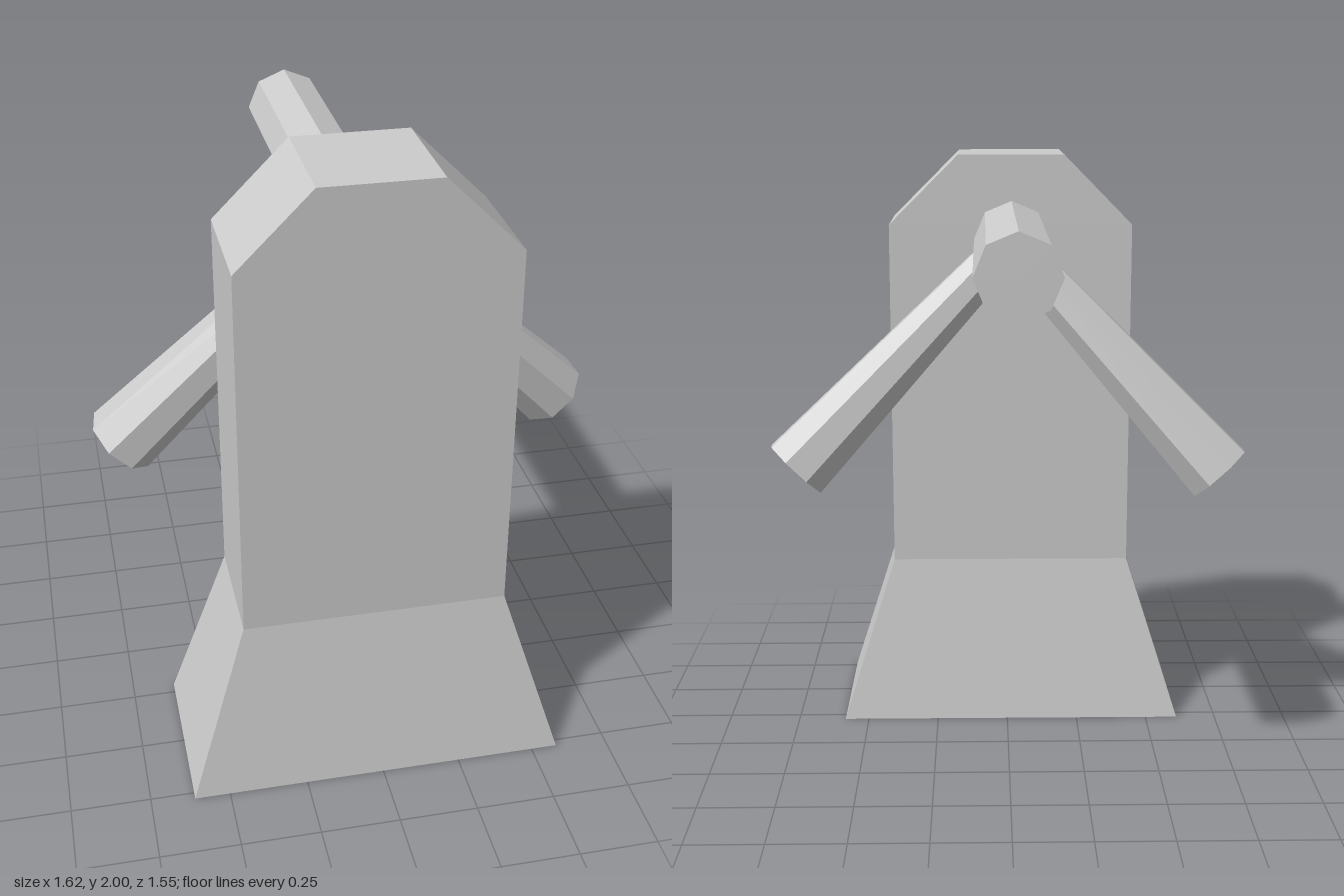
import * as THREE from 'three';

const material = new THREE.MeshStandardMaterial({ color: 0xcccccc, flatShading: true });

function addPart(group, name, geometry) {
  const mesh = new THREE.Mesh(geometry, material);
  mesh.name = name;
  group.add(mesh);
  return mesh;
}

// Eight-sided rod between two points, with its own radius at each end
function addRod(group, name, start, end, startRadius, endRadius) {
  const a = new THREE.Vector3(...start);
  const b = new THREE.Vector3(...end);
  const direction = b.clone().sub(a);
  const rod = addPart(group, name,
    new THREE.CylinderGeometry(endRadius, startRadius, direction.length(), 8));
  rod.position.copy(a).lerp(b, 0.5);
  rod.quaternion.setFromUnitVectors(new THREE.Vector3(0, 1, 0), direction.normalize());
}

// Slab with a flared foot and bevelled top: one rectangle per level
function bodyGeometry() {
  const levels = [ // y, xMin, xMax, half depth
    [0, -0.612, 0.584, 0.283],
    [0.575, -0.428, 0.402, 0.197],
    [1.765, -0.428, 0.402, 0.197],
    [2, -0.195, 0.165, 0.197],
  ];
  const geometry = new THREE.BoxGeometry(1, 3, 1, 1, 3, 1);
  const p = geometry.attributes.position;
  for (let i = 0; i < p.count; i++) {
    const [y, xMin, xMax, halfDepth] = levels[Math.round(p.getY(i) + 1.5)];
    p.setXYZ(i, p.getX(i) < 0 ? xMin : xMax, y, 0.493 + Math.sign(p.getZ(i)) * halfDepth);
  }
  geometry.computeVertexNormals();
  return geometry;
}

export function createModel() {
  const group = new THREE.Group();
  group.name = 'model';

  addPart(group, 'body', bodyGeometry());

  // Straight bar out of the back
  addRod(group, 'backBar', [-0.016, 1.717, 0.295], [-0.016, 1.717, -0.777], 0.128, 0.128);

  // Two splayed legs, widening towards their free ends
  addRod(group, 'leftLeg', [0.045, 1.65, 0.256], [0.72, 0.96, 0.1], 0.07, 0.122);
  addRod(group, 'rightLeg', [-0.065, 1.65, 0.256], [-0.723, 0.94, 0.1], 0.07, 0.122);

  return group;
}
